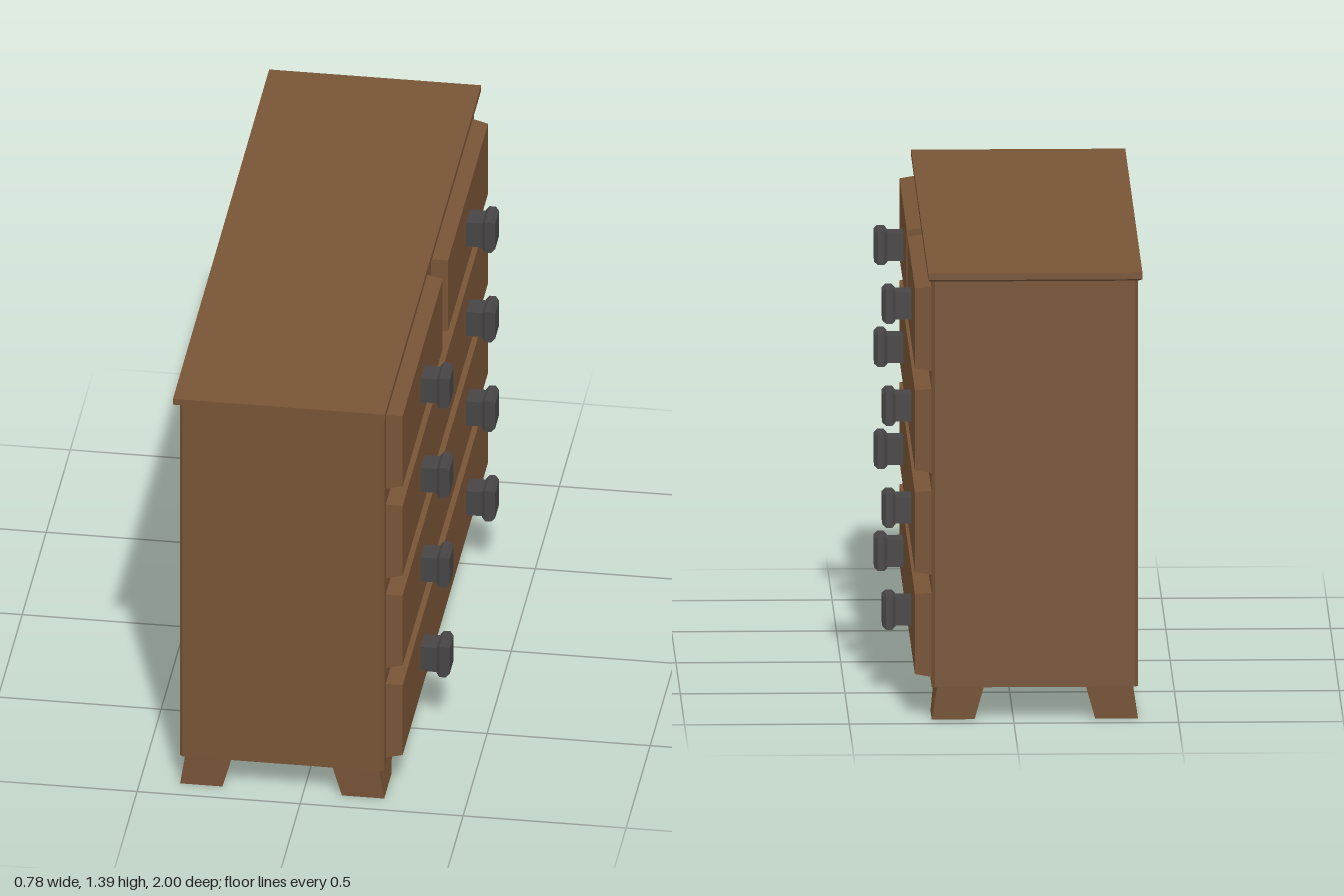
import * as THREE from 'three';

const CX = -0.065; // centre of the cabinet in x; the drawers face +x

// Loft through rectangles [t, u0, u1, v0, v1] stacked along an axis.
// Axis 'y' uses (u, v) = (z, x); axis 'x' uses (u, v) = (y, z).
function loft(axis, sections) {
  const rings = sections.map(([t, u0, u1, v0, v1]) =>
    [[u0, v0], [u1, v0], [u1, v1], [u0, v1]].map(([u, v]) => (axis === 'y' ? [v, t, u] : [t, u, v])));
  const pos = [];
  const quad = (a, b, c, d) => pos.push(...a, ...b, ...c, ...a, ...c, ...d);
  for (let s = 0; s < rings.length - 1; s++) {
    for (let i = 0; i < 4; i++) {
      const j = (i + 1) % 4;
      quad(rings[s][i], rings[s][j], rings[s + 1][j], rings[s + 1][i]);
    }
  }
  quad(...rings[0].slice().reverse());
  quad(...rings[rings.length - 1]);
  const g = new THREE.BufferGeometry();
  g.setAttribute('position', new THREE.Float32BufferAttribute(pos, 3));
  g.computeVertexNormals();
  return g;
}

export function createModel() {
  const model = new THREE.Group();
  model.name = 'chestOfDrawers';
  const wood = new THREE.MeshStandardMaterial({ color: 0x775436 });
  wood.name = 'brownWood';
  const metal = new THREE.MeshStandardMaterial({ color: 0x474545 });
  metal.name = 'darkMetal';
  const add = (name, geometry, material) => {
    const mesh = new THREE.Mesh(geometry, material);
    mesh.name = name;
    model.add(mesh);
  };

  // Cabinet with bevelled upright corners
  const w = 0.313, d = 0.94, c = 0.009;
  const outline = new THREE.Shape([
    [w - c, -d], [w, -d + c], [w, d - c], [w - c, d],
    [-w + c, d], [-w, d - c], [-w, -d + c], [-w + c, -d],
  ].map(([x, y]) => new THREE.Vector2(x, y)));
  const body = new THREE.ExtrudeGeometry(outline, { depth: 1.258, bevelEnabled: false });
  body.rotateX(-Math.PI / 2).translate(CX, 0.1, 0);
  add('cabinet', body, wood);

  // Overhanging top, bevelled underneath
  add('top', loft('y', [
    [1.355, -0.945, 0.945, CX - 0.314, CX + 0.314],
    [1.37, -1, 1, CX - 0.325, CX + 0.325],
    [1.39, -1, 1, CX - 0.325, CX + 0.325],
  ]), wood);

  // Splayed bracket feet
  for (const sx of [-1, 1]) {
    for (const sz of [-1, 1]) {
      const range = (s, o, a, b) => [o + s * a, o + s * b].sort((p, q) => p - q);
      add('foot', loft('y', [
        [0, ...range(sz, 0, 0.785, 0.932), ...range(sx, CX, 0.183, 0.313)],
        [0.101, ...range(sz, 0, 0.642, 0.938), ...range(sx, CX, 0.155, 0.297)],
      ]), wood);
    }
  }

  // Drawers and knobs: the top row is split in two
  const e = 0.007;
  const drawer = (y, z0, z1) => add('drawer', loft('x', [
    [0.245, y - 0.13, y + 0.13, z0, z1],
    [0.298, y - 0.13 + e, y + 0.13 - e, z0 + 0.012, z1 - 0.012],
  ]), wood);
  [1.2, 0.885, 0.57, 0.255].forEach((y, row) => {
    if (row === 0) {
      drawer(y, -0.9, -0.045);
      drawer(y, 0.045, 0.9);
    } else drawer(y, -0.9, 0.9);
    for (const z of [-0.473, 0.473]) {
      const profile = [[0.295, 0.042], [0.347, 0.042], [0.347, 0.044], [0.357, 0.053], [0.376, 0.053], [0.387, 0.044]];
      add('knob', loft('x', profile.map(([x, r]) =>
        [x, y - 0.003 - r, y - 0.003 + r, z - r * 0.93, z + r * 0.93])), metal);
    }
  });
  return model;
}
